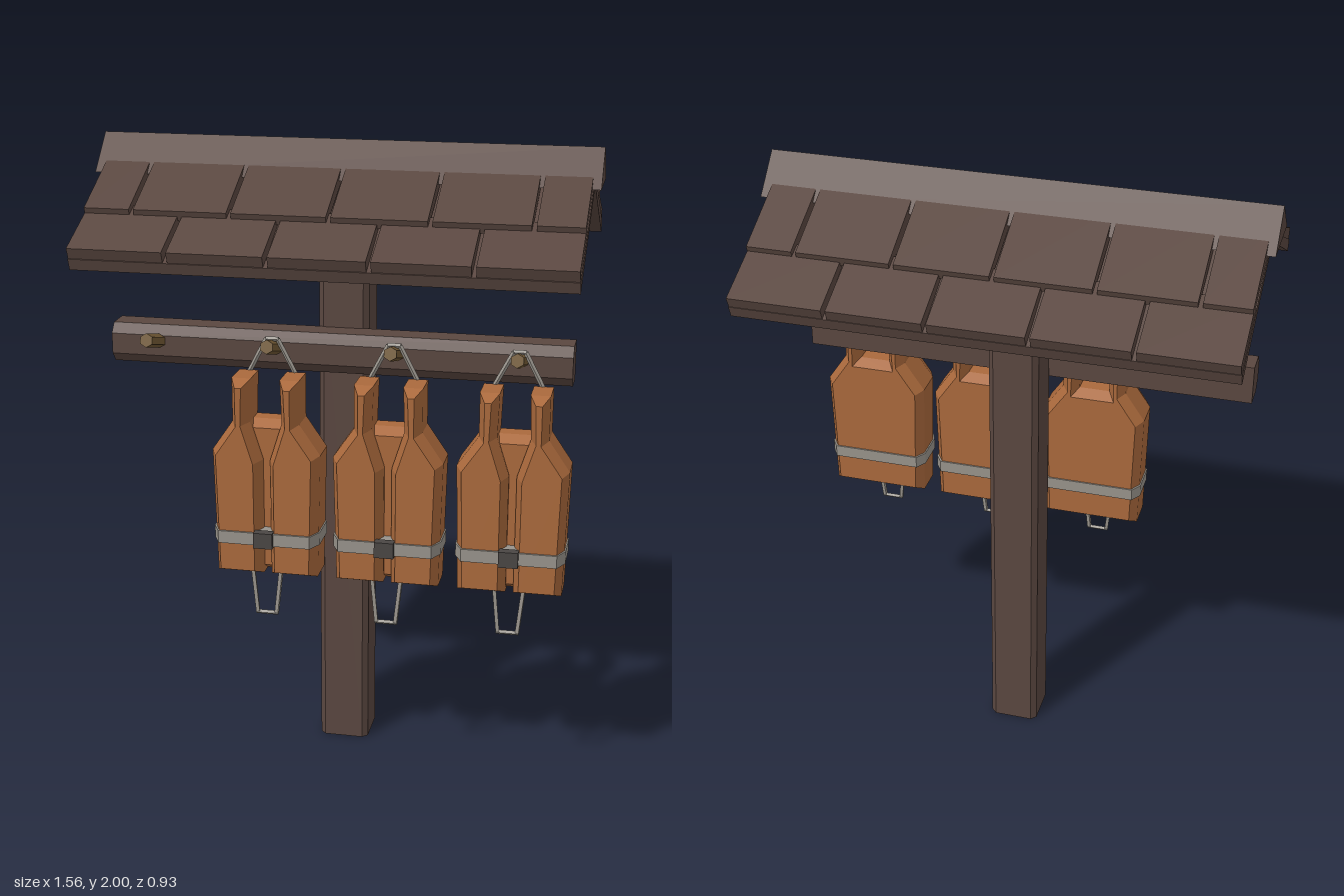
import * as THREE from 'three';

const mat = (name, color) => {
  const m = new THREE.MeshStandardMaterial({ color });
  m.name = name;
  return m;
};

export function createModel() {
  const wood = mat('dark wood', 0x5a4740);
  const pegWood = mat('peg wood', 0x735a35);
  const orange = mat('orange fabric', 0xaa693c);
  const webbing = mat('grey webbing', 0x98938b);
  const plastic = mat('dark buckle', 0x4a4644);

  const model = new THREE.Group();
  model.name = 'lifeVestStand';

  const add = (parent, name, geometry, material) => {
    const mesh = new THREE.Mesh(geometry, material);
    mesh.name = name;
    parent.add(mesh);
    return mesh;
  };
  const shape = pts => new THREE.Shape(pts.map(p => new THREE.Vector2(p[0], p[1])));

  // Prism along x from a (z, y) profile
  const prismX = (pts, x0, x1) =>
    new THREE.ExtrudeGeometry(shape(pts), { depth: x1 - x0, bevelEnabled: false })
      .rotateY(-Math.PI / 2).translate(x1, 0, 0);
  // Prism along y from an (x, z) profile
  const prismY = (pts, y0, y1) =>
    new THREE.ExtrudeGeometry(shape(pts.map(([x, z]) => [x, -z])), { depth: y1 - y0, bevelEnabled: false })
      .rotateX(-Math.PI / 2).translate(0, y0, 0);
  // Faceted rod between two points
  const rod = (a, b, r, sides) => {
    const from = new THREE.Vector3(...a), dir = new THREE.Vector3(...b).sub(from);
    const g = new THREE.CylinderGeometry(r, r, dir.length(), sides).toNonIndexed();
    g.computeVertexNormals();
    g.applyQuaternion(new THREE.Quaternion().setFromUnitVectors(
      new THREE.Vector3(0, 1, 0), dir.clone().normalize()));
    return g.translate(...from.addScaledVector(dir, 0.5).toArray());
  };
  // Plate with chamfered edges, from z0 to z1
  const chamferedPlate = (pts, z0, z1, bevel, inset) =>
    new THREE.ExtrudeGeometry(shape(pts), {
      depth: z1 - z0 - 2 * bevel, bevelThickness: bevel,
      bevelSize: inset, bevelOffset: -inset, bevelSegments: 1,
    }).translate(0, 0, z0 + bevel);

  // Post with chamfered corners
  const p = 0.08, c = 0.063;
  add(model, 'post', prismY([[p, c], [c, p], [-c, p], [-p, c], [-p, -c], [-c, -p], [c, -p], [p, -c]], 0, 1.59), wood);

  // Roof beam and gable trusses
  add(model, 'roofBeam', prismX([[-0.088, 1.58], [0.088, 1.58], [0.088, 1.695], [-0.088, 1.695]], -0.635, 0.635), wood);
  for (const s of [-1, 1]) {
    add(model, 'gable', prismX([[-0.37, 1.69], [0.37, 1.69], [0, 1.895]], s * 0.6 - 0.03, s * 0.6 + 0.03), wood);
  }

  // Roof: boards, two staggered shingle rows per slope, ridge cap
  const roof = new THREE.Group();
  roof.name = 'roof';
  model.add(roof);
  const upper = [[0.03, 1.945], [0.30, 1.815], [0.29, 1.785], [0.03, 1.90]];
  const lower = [[0.25, 1.817], [0.466, 1.725], [0.453, 1.692], [0.25, 1.785]];
  const upperJoints = [-0.76, -0.605, -0.303, 0, 0.303, 0.605, 0.76];
  const lowerJoints = [-0.76, -0.455, -0.152, 0.152, 0.455, 0.76];
  for (const s of [-1, 1]) {
    const flip = pts => pts.map(([z, y]) => [s * z, y]);
    add(roof, 'roofBoard', prismX(flip([[0, 1.915], [0.452, 1.69], [0.44, 1.655], [0, 1.885]]), -0.755, 0.755), wood);
    for (const [profile, joints] of [[upper, upperJoints], [lower, lowerJoints]]) {
      for (let i = 0; i + 1 < joints.length; i++) {
        add(roof, 'shingle', prismX(flip(profile), joints[i] + 0.007, joints[i + 1] - 0.007), wood);
      }
    }
  }
  add(roof, 'ridgeCap', prismX([[-0.11, 1.89], [0.11, 1.89], [0, 2]], -0.78, 0.78), wood);

  // Hanging rail with chamfered front edges
  add(model, 'rail', prismX([[0.075, 1.30], [0.155, 1.30], [0.18, 1.33], [0.18, 1.395], [0.155, 1.425], [0.075, 1.425]], -0.725, 0.725), wood);

  // Pegs
  for (const x of [-0.57, -0.19, 0.19, 0.57]) {
    add(model, 'peg', rod([x, 1.37, 0.15], [x, 1.413, 0.307], 0.022, 6), pegWood);
  }

  // Vest outlines
  const halfBack = [[0.16, 0.685], [0.17, 1.085], [0.105, 1.18], [0.105, 1.318], [0.045, 1.318], [0.05, 1.18]];
  const backOutline = [...halfBack, ...halfBack.map(([x, y]) => [-x, y]).reverse()];
  const panelOutline = [[0.012, 0.685], ...halfBack, [0.012, 1.06]];
  const beltHalf = [[0.145, 0.382], [0.168, 0.335], [0.168, 0.23], [0.146, 0.195]];
  const beltOutline = [...beltHalf, ...beltHalf.map(([x, z]) => [-x, z]).reverse()];

  for (const x of [-0.19, 0.19, 0.57]) {
    const vest = new THREE.Group();
    vest.name = 'lifeVest';
    vest.position.x = x;
    model.add(vest);
    add(vest, 'vestBack', chamferedPlate(backOutline, 0.2, 0.32, 0.035, 0.022), orange);
    add(vest, 'belt', prismY(beltOutline, 0.795, 0.835), webbing);
    add(vest, 'buckle', new THREE.BoxGeometry(0.06, 0.05, 0.03).translate(0, 0.815, 0.38), plastic);
    for (const s of [-1, 1]) {
      const outline = panelOutline.map(([px, y]) => [s * px, y]);
      add(vest, 'frontPanel', chamferedPlate(outline, 0.235, 0.375, 0.045, 0.02), orange);
      // Hanging cord over the peg, and the strap loop below
      add(vest, 'hangingCord', rod([s * 0.075, 1.31, 0.235], [s * 0.018, 1.42, 0.235], 0.008, 5), webbing);
      add(vest, 'legStrap', rod([s * 0.045, 0.70, 0.342], [s * 0.03, 0.555, 0.347], 0.008, 4), webbing);
    }
    add(vest, 'cordTop', rod([-0.02, 1.42, 0.235], [0.02, 1.42, 0.235], 0.008, 5), webbing);
    add(vest, 'legStrapEnd', rod([-0.035, 0.557, 0.347], [0.035, 0.557, 0.347], 0.007, 4), webbing);
  }
  return model;
}
